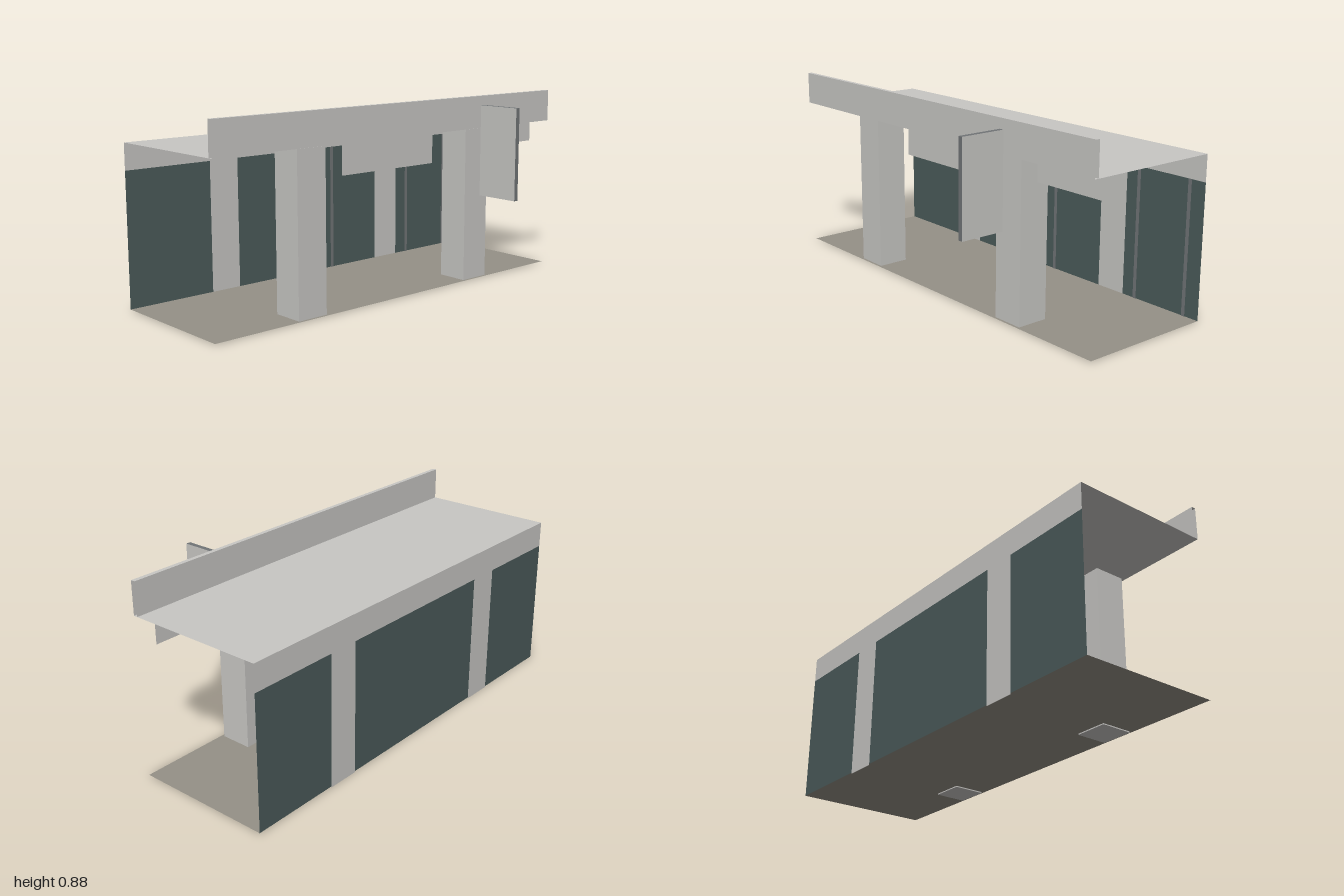
import * as THREE from 'three';

const mat = (name, color, side = THREE.FrontSide) => {
  const m = new THREE.MeshStandardMaterial({ color, side });
  m.name = name;
  return m;
};

export function createModel() {
  const concrete = mat('paleConcrete', 0xc8c7c4, THREE.DoubleSide);
  const glass = mat('darkGlass', 0x4b5b5a, THREE.DoubleSide);
  const metal = mat('greyMetal', 0x707476, THREE.DoubleSide);
  const paving = mat('paving', 0x959187, THREE.DoubleSide);

  const group = new THREE.Group();
  const BACK = -0.44, FRONT = 0.21, ROOF = 0.73, HEAD = 0.61, TOP = 0.88;

  const add = (name, geometry, material, parent = group) => {
    const mesh = new THREE.Mesh(geometry, material);
    mesh.name = name;
    parent.add(mesh);
    return mesh;
  };
  // Upright sheet facing z
  const upright = (name, x0, x1, y0, y1, z, material, parent) =>
    add(name, new THREE.PlaneGeometry(x1 - x0, y1 - y0), material, parent)
      .position.set((x0 + x1) / 2, (y0 + y1) / 2, z);
  // Level sheet spanning the full length
  const level = (name, z0, z1, y, material) =>
    add(name, new THREE.PlaneGeometry(2, z1 - z0).rotateX(-Math.PI / 2), material)
      .position.set(0, y, (z0 + z1) / 2);

  // Ground slab and roof
  level('floor', BACK, 0.2, 0.005, paving);
  level('roof', BACK, FRONT, ROOF, concrete);

  // Parapet with open ends
  upright('parapetFront', -1, 1, ROOF, TOP, FRONT, concrete);
  upright('parapetBack', -1, 1, ROOF, TOP, 0.19, concrete);
  level('parapetCap', 0.19, FRONT, TOP, concrete);

  // Back wall: head band, glazing, flat piers and slim mullions
  const wall = new THREE.Group();
  wall.name = 'backWall';
  group.add(wall);
  upright('headBand', -1, 1, HEAD, ROOF, BACK, concrete, wall);
  for (const [a, b] of [[-1, -0.575], [-0.425, 0.425], [0.575, 1]])
    upright('glazing', a, b, 0.005, HEAD, BACK, glass, wall);
  for (const x of [-0.5, 0.5])
    upright('wallPier', x - 0.075, x + 0.075, 0, HEAD, BACK, concrete, wall);
  for (const x of [-0.14, 0.135, 0.647, 0.923])
    upright('mullion', x - 0.009, x + 0.009, 0.005, HEAD, BACK + 0.004, metal, wall);

  // Free-standing front pillars
  for (const x of [-0.5, 0.5])
    add('pillar', new THREE.BoxGeometry(0.15, 0.726, 0.148), concrete)
      .position.set(x, 0.363, 0.114);

  // Panels hanging below the roof
  upright('hangingPanelWide', -0.278, 0.273, 0.577, 0.716, 0.12, concrete);
  upright('hangingPanelNarrow', 0.597, 0.973, 0.623, 0.716, 0.12, concrete);

  // Projecting blade sign: pale faces, metal rim
  add('bladeSign', new THREE.BoxGeometry(0.022, 0.425, 0.212),
    [concrete, concrete, metal, metal, metal, metal])
    .position.set(0.497, 0.626, 0.332);

  return group;
}
